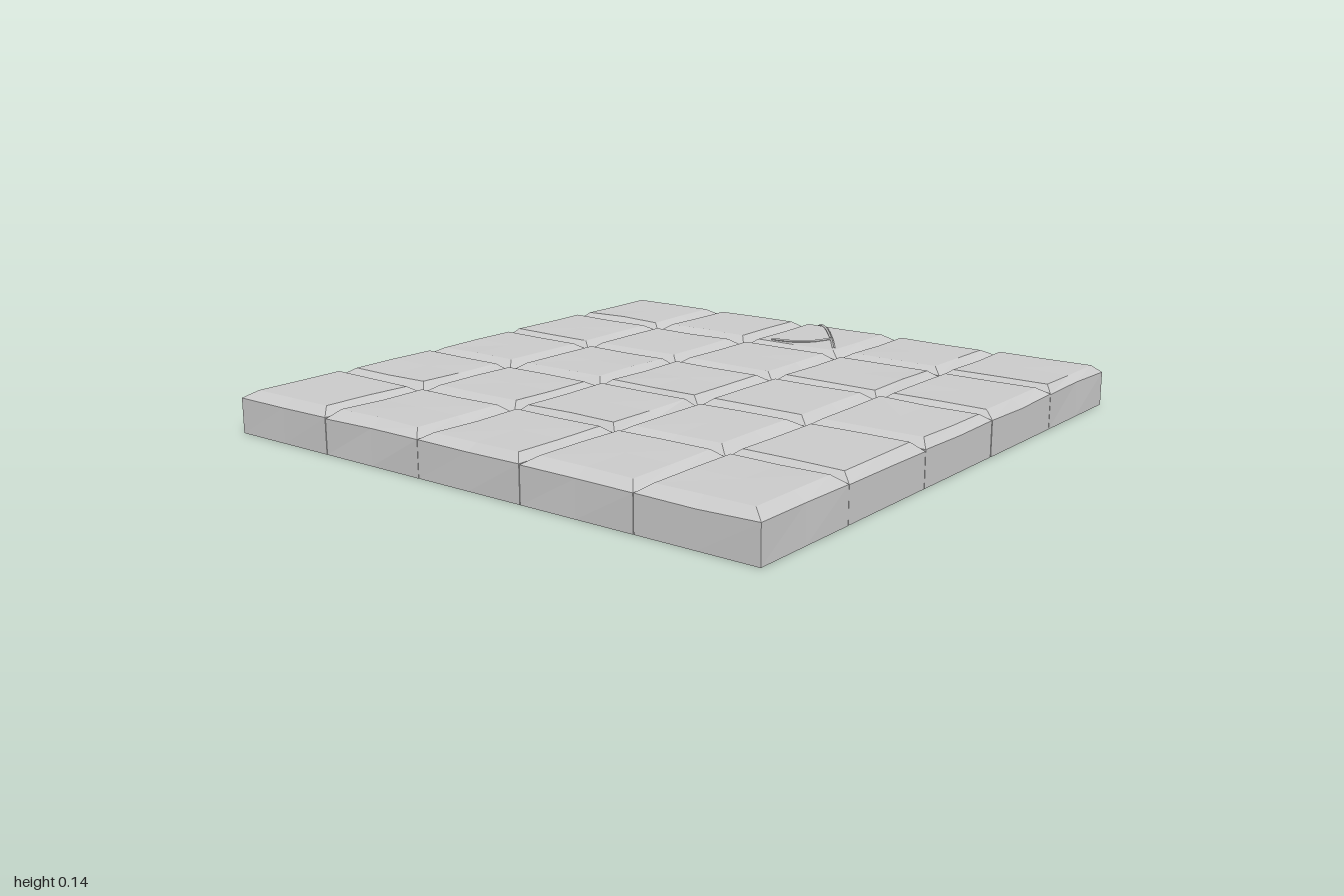
import * as THREE from 'three';

const N = 5, PITCH = 0.398, HALF = 0.1985;
const EDGE_Y = 0.113, TOP_Y = 0.137;

// small seeded generator, returns a value between a and b
let seed = 7;
const vary = (a, b) => {
  seed = (seed * 16807) % 2147483647;
  return a + (b - a) * (seed / 2147483647);
};

// eight-point ring (corners and side midpoints), counter-clockwise from above
function ring(l, r, back, front, y, bow) {
  const cx = (l + r) / 2, cz = (back + front) / 2;
  const pts = [
    [l, front], [cx, front - bow[0]], [r, front], [r - bow[1], cz],
    [r, back], [cx, back + bow[2]], [l, back], [l + bow[3], cz],
  ];
  return pts.map(([x, z]) => new THREE.Vector3(x, y, z));
}

// flat-shaded solid made by joining rings from bottom to top
function loft(rings) {
  const v = [];
  const tri = (...pts) => pts.forEach((p) => v.push(p.x, p.y, p.z));
  const n = rings[0].length;
  for (let k = 0; k + 1 < rings.length; k++) {
    for (let i = 0; i < n; i++) {
      const j = (i + 1) % n, a = rings[k], b = rings[k + 1];
      tri(a[i], a[j], b[j]);
      tri(a[i], b[j], b[i]);
    }
  }
  const cap = (r, up) => {
    const c = r.reduce((s, p) => s.add(p), new THREE.Vector3()).divideScalar(n);
    r.forEach((p, i) => (up ? tri(c, p, r[(i + 1) % n]) : tri(c, r[(i + 1) % n], p)));
  };
  cap(rings[0], false);
  cap(rings[rings.length - 1], true);
  const g = new THREE.BufferGeometry();
  g.setAttribute('position', new THREE.Float32BufferAttribute(v, 3));
  g.computeVertexNormals();
  return g;
}

// stone slab with uneven chamfered rim
function tileGeometry() {
  const h = () => HALF - vary(-0.0005, 0.0015);
  const [l, r, b, f] = [-h(), h(), -h(), h()];
  const bow = [0, 0, 0, 0].map(() => Math.max(0, vary(-0.008, 0.006)));
  const inset = [0, 0, 0, 0].map(() => vary(0.026, 0.042));
  const bottom = ring(l, r, b, f, 0, [0, 0, 0, 0]);
  const edge = ring(l, r, b, f, EDGE_Y, bow);
  const top = ring(l + inset[0], r - inset[1], b + inset[2], f - inset[3], TOP_Y, bow);
  edge.forEach((p) => { p.y += vary(-0.004, 0.004); });
  top.forEach((p) => { p.y += vary(-0.002, 0.002); });
  return loft([bottom, edge, top]);
}

export function createModel() {
  seed = 7;
  const group = new THREE.Group();
  group.name = 'tiledFloor';
  const stone = new THREE.MeshStandardMaterial({ color: 0xcccccc, flatShading: true });

  // grid of slabs
  const tiles = new THREE.Group();
  tiles.name = 'tiles';
  for (let row = 0; row < N; row++) {
    for (let col = 0; col < N; col++) {
      const tile = new THREE.Mesh(tileGeometry(), stone);
      tile.name = `tile_${row + 1}_${col + 1}`;
      tile.position.set((col - 2) * PITCH - 0.005, 0, (row - 2) * PITCH - 0.003);
      tiles.add(tile);
    }
  }
  group.add(tiles);

  // thin forked crack on one slab, running over its outer edge
  const crack = new THREE.Group();
  crack.name = 'crack';
  const strand = (name, pts) => {
    const curve = new THREE.CatmullRomCurve3(pts.map((p) => new THREE.Vector3(...p)), false, 'centripetal');
    const mesh = new THREE.Mesh(new THREE.TubeGeometry(curve, 24, 0.006, 5), stone);
    mesh.name = name;
    crack.add(mesh);
  };
  strand('crackMain', [
    [0.655, 0.136, 0.14], [0.78, 0.137, 0.05], [0.94, 0.137, -0.08],
    [0.978, 0.132, -0.125], [0.992, 0.11, -0.16], [0.993, 0.06, -0.19],
  ]);
  strand('crackBranch', [
    [0.65, 0.136, -0.12], [0.66, 0.137, -0.04], [0.7, 0.137, 0.015], [0.78, 0.137, 0.05],
  ]);
  group.add(crack);
  return group;
}
